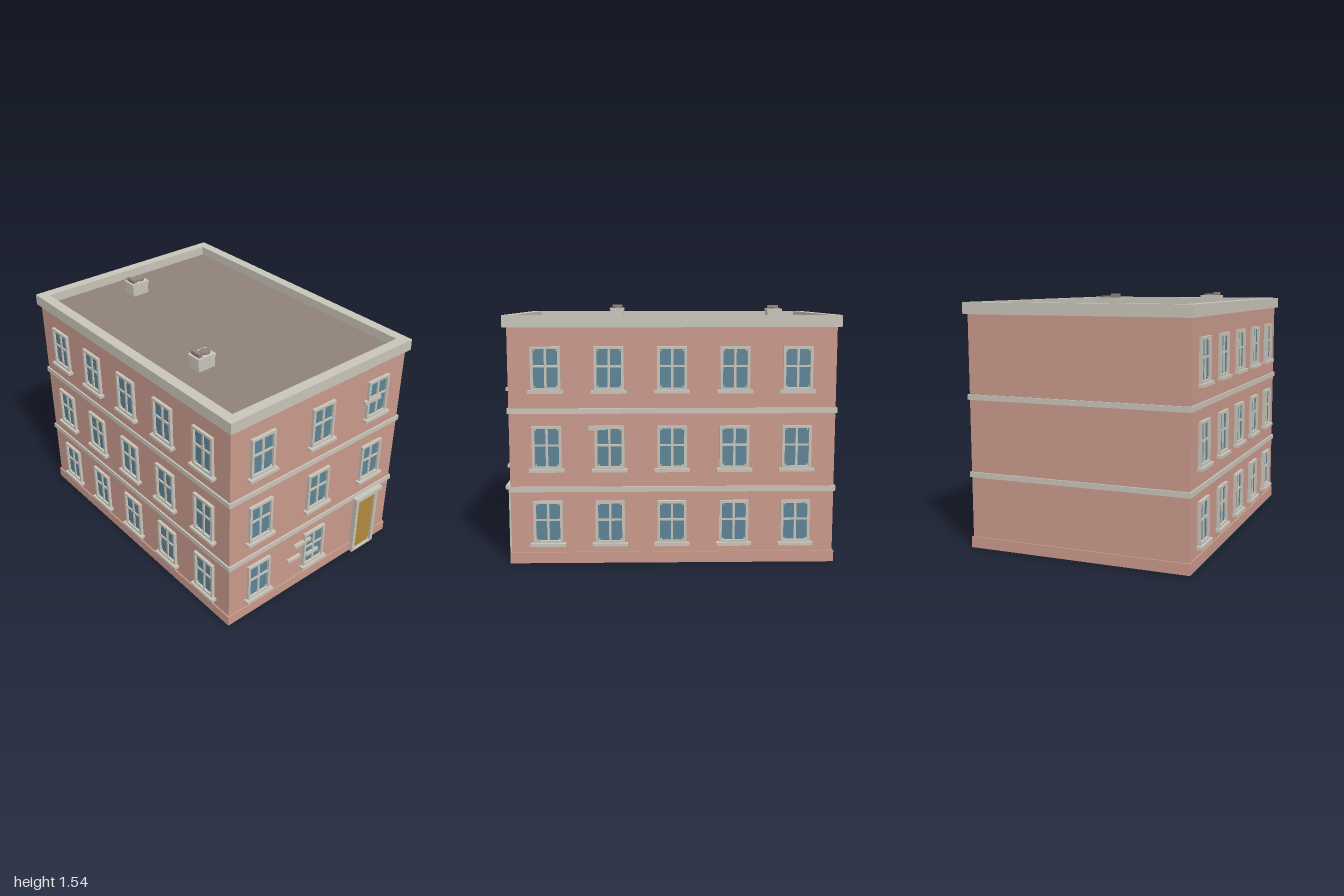
import * as THREE from 'three';

const mat = (name, color) => {
  const m = new THREE.MeshStandardMaterial({ color });
  m.name = name;
  return m;
};

export function createModel() {
  const brick = mat('brick', 0xc9998b);
  const stone = mat('stone', 0xc8c4b9);
  const glass = mat('glass', 0x5d8496);
  const roofing = mat('roofing', 0x8f8179);
  const doorPaint = mat('doorPaint', 0xb1883a);

  const model = new THREE.Group();
  model.name = 'apartmentBuilding';
  const CZ = -0.011, HX = 0.69, HZ = 0.965; // building centre and half sizes

  // box given by its min and max corners
  const box = (parent, name, material, x0, x1, y0, y1, z0, z1) => {
    const m = new THREE.Mesh(new THREE.BoxGeometry(x1 - x0, y1 - y0, z1 - z0), material);
    m.position.set((x0 + x1) / 2, (y0 + y1) / 2, (z0 + z1) / 2);
    m.name = name;
    parent.add(m);
    return m;
  };

  // rectangular ring extruded along z
  const ring = (w, h, t, depth, tBottom = t) => {
    const s = new THREE.Shape([[-w, -h], [w, -h], [w, h], [-w, h]].map(([x, y]) => new THREE.Vector2(x / 2, y / 2)));
    const a = w / 2 - t, b = -h / 2 + tBottom, c = h / 2 - t;
    s.holes.push(new THREE.Path([[-a, b], [-a, c], [a, c], [a, b]].map(([x, y]) => new THREE.Vector2(x, y))));
    return new THREE.ExtrudeGeometry(s, { depth, bevelEnabled: false });
  };

  // Main block, plinth and string courses
  const slab = (name, material, y0, y1, grow) =>
    box(model, name, material, -HX - grow, HX + grow, y0, y1, CZ - HZ - grow, CZ + HZ + grow);
  slab('walls', brick, 0.006, 1.425, 0);
  slab('plinth', brick, 0.005, 0.072, 0.009);
  slab('lowerStringCourse', stone, 0.442, 0.474, 0.01);
  slab('upperStringCourse', stone, 0.912, 0.944, 0.01);
  slab('roofDeck', roofing, 1.42, 1.43, -0.02);

  // Parapet cornice around the roof
  const cornice = new THREE.Mesh(ring(1.42, 1.978, 0.066, 0.07), stone);
  cornice.rotation.x = -Math.PI / 2;
  cornice.position.set(0, 1.418, CZ);
  cornice.name = 'cornice';
  model.add(cornice);

  // Shared window geometry
  const W = 0.175, H = 0.258;
  const frameGeo = ring(W, H, 0.016, 0.019);
  const studGeo = new THREE.CylinderGeometry(0.005, 0.005, 0.008, 8).rotateX(Math.PI / 2);
  const studs = (parent, w, h, y, z) => {
    for (const sx of [-1, 1]) for (const sy of [-1, 1]) {
      const s = new THREE.Mesh(studGeo, stone);
      s.position.set(sx * w, y + sy * h, z);
      s.name = 'cornerStud';
      parent.add(s);
    }
  };

  // Window built facing +z with its back on the wall
  const makeWindow = () => {
    const g = new THREE.Group();
    g.name = 'window';
    const frame = new THREE.Mesh(frameGeo, stone);
    frame.name = 'windowFrame';
    g.add(frame);
    box(g, 'windowPane', glass, -W / 2 + 0.01, W / 2 - 0.01, -H / 2 + 0.01, H / 2 - 0.01, -0.002, 0.004);
    box(g, 'verticalGlazingBar', stone, -0.007, 0.007, -H / 2 + 0.01, H / 2 - 0.01, 0, 0.012);
    box(g, 'horizontalGlazingBar', stone, -W / 2 + 0.01, W / 2 - 0.01, 0.007, 0.019, 0, 0.0125);
    box(g, 'windowSill', stone, -0.105, 0.105, -H / 2 - 0.017, -H / 2 + 0.002, 0, 0.034);
    studs(g, W / 2 - 0.023, H / 2 - 0.023, 0, 0.006);
    return g;
  };

  // Three storeys of windows on the front and both sides
  const frontZ = CZ + HZ;
  [0.259, 0.711, 1.179].forEach((y, floor) => {
    [-0.463, 0, 0.463].forEach((x, i) => {
      if (floor === 0 && i === 2) return; // doorway here
      const w = makeWindow();
      w.position.set(x, y, frontZ);
      model.add(w);
    });
    for (let i = -2; i <= 2; i++) for (const side of [-1, 1]) {
      const w = makeWindow();
      w.position.set(side * HX, y, -0.008 + i * 0.37);
      w.rotation.y = side * Math.PI / 2;
      model.add(w);
    }
  });

  // Doorway with hood
  const door = new THREE.Group();
  door.name = 'doorway';
  door.position.set(0.462, 0, frontZ);
  const doorFrame = new THREE.Mesh(ring(0.2, 0.434, 0.023, 0.032, 0.012), stone);
  doorFrame.position.y = 0.217;
  doorFrame.name = 'doorFrame';
  door.add(doorFrame);
  box(door, 'door', doorPaint, -0.08, 0.08, 0.008, 0.415, 0, 0.016);
  box(door, 'doorHood', stone, -0.121, 0.121, 0.432, 0.458, 0, 0.046);
  studs(door, 0.07, 0.186, 0.212, 0.017);
  model.add(door);

  // Small projecting stone strips: x0, x1, y0, y1
  for (const [x0, x1, y0, y1] of [
    [0.353, 0.49, 1.16, 1.184], [-0.17, -0.033, 0.321, 0.343],
    [-0.222, -0.12, 0.23, 0.252], [-0.066, 0.038, 0.2, 0.223],
  ]) box(model, 'wallStrip', stone, x0, x1, y0, y1, frontZ, frontZ + 0.02);
  box(model, 'wallStrip', stone, HX, HX + 0.015, 0.815, 0.837, 0.38, 0.485);

  // Rooftop ventilation units
  for (const [x, z] of [[-0.105, -0.71], [-0.395, 0.35]]) {
    const g = new THREE.Group();
    g.name = 'roofVent';
    g.position.set(x, 1.43, z);
    box(g, 'ventHousing', stone, -0.06, 0.06, 0, 0.068, -0.046, 0.046);
    box(g, 'ventLid', stone, -0.065, 0.065, 0.066, 0.085, -0.05, 0.05);
    box(g, 'ventDuct', roofing, -0.05, -0.023, 0.085, 0.107, -0.036, 0.036);
    const fan = new THREE.Mesh(new THREE.CylinderGeometry(0.032, 0.032, 0.012, 20), roofing);
    fan.position.set(0.022, 0.09, 0);
    fan.name = 'ventFan';
    g.add(fan);
    model.add(g);
  }
  return model;
}
